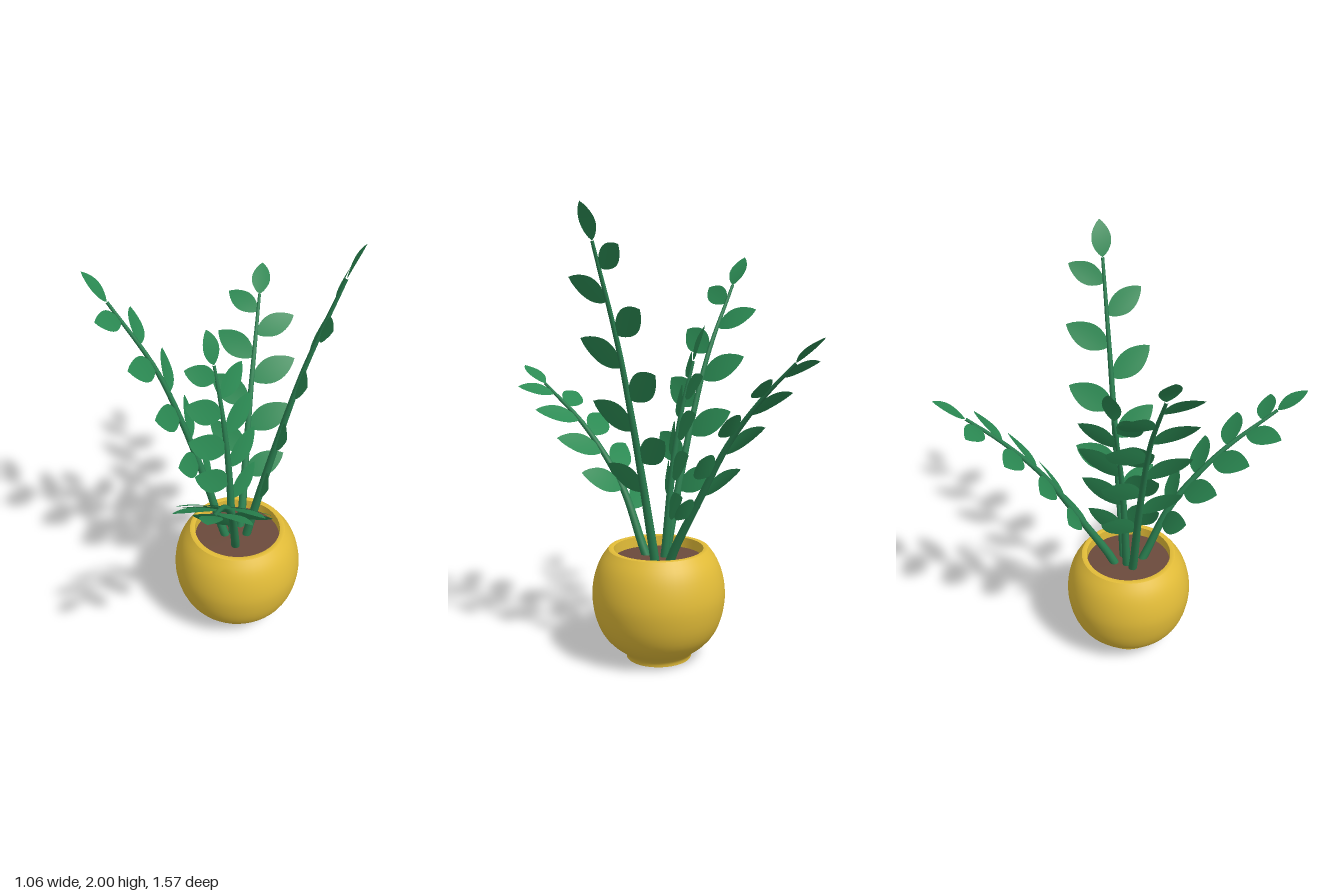
import * as THREE from 'three';

const material = (name, color, side = THREE.FrontSide) => {
  const m = new THREE.MeshStandardMaterial({ color, side });
  m.name = name;
  return m;
};

// Unit leaf: length along +y from 0 to 1, full width about 1, gently cupped and drooping
function leafGeometry() {
  const g = new THREE.PlaneGeometry(1, 1, 4, 12);
  const p = g.attributes.position;
  for (let i = 0; i < p.count; i++) {
    const u = p.getY(i) + 0.5;
    const x = p.getX(i) * Math.pow(Math.max(0, Math.sin(Math.PI * Math.pow(u, 0.95))), 0.8);
    p.setXYZ(i, x, u, 0.05 * x * x - 0.12 * u * u + 0.03 * u);
  }
  g.computeVertexNormals();
  return g;
}

// Tube along a curve, narrowing from r0 to r1
function taperedTube(curve, r0, r1) {
  const rings = 24, sides = 10;
  const g = new THREE.TubeGeometry(curve, rings, 1, sides);
  const p = g.attributes.position, v = new THREE.Vector3();
  for (let i = 0; i < p.count; i++) {
    const t = Math.floor(i / (sides + 1)) / rings;
    const c = curve.getPointAt(t);
    v.fromBufferAttribute(p, i).sub(c).multiplyScalar(r0 + (r1 - r0) * t).add(c);
    p.setXYZ(i, v.x, v.y, v.z);
  }
  return g;
}

export function createModel() {
  const root = new THREE.Group();
  root.name = 'pottedPlant';
  const potMat = material('yellowGlaze', 0xe2bc38);
  const soilMat = material('brownSoil', 0x6b4a3c);
  const stemMat = material('stemGreen', 0x2a7f50);
  const leafMat = material('leafGreen', 0x2b8a53, THREE.DoubleSide);

  // Pot: each lathe is one smooth band, so edges between bands stay sharp
  const pot = new THREE.Group();
  pot.name = 'pot';
  pot.position.set(0.08, 0, -0.01);
  root.add(pot);
  const lathe = (name, pts, mat) => {
    const m = new THREE.Mesh(new THREE.LatheGeometry(pts.map(([x, y]) => new THREE.Vector2(x, y)), 48), mat);
    m.name = name;
    pot.add(m);
  };
  const belly = new THREE.SplineCurve([
    [0.147, 0], [0.151, 0.018], [0.172, 0.04], [0.215, 0.074], [0.257, 0.125], [0.286, 0.195], [0.3, 0.28],
    [0.296, 0.35], [0.28, 0.415], [0.257, 0.465], [0.226, 0.508],
  ].map(([x, y]) => new THREE.Vector2(x, y)));
  lathe('potBase', [[0, 0], [0.147, 0]], potMat);
  lathe('potBody', belly.getPoints(30).map((p) => [p.x, p.y]), potMat);
  lathe('potRim', [[0.226, 0.508], [0.216, 0.511], [0.202, 0.508]], potMat);
  lathe('potInside', [[0.202, 0.508], [0.2, 0.43]], potMat);
  lathe('soil', [[0.201, 0.46], [0, 0.464]], soilMat);

  // Stems with alternating leaves and one leaf at the tip
  const stems = [
    ['backStem', [[0.062, 0.43, -0.065], [0.055, 0.51, -0.1], [0.007, 0.76, -0.23], [-0.045, 1.02, -0.37], [-0.1, 1.22, -0.52], [-0.157, 1.38, -0.67]]],
    ['rightStem', [[0.035, 0.43, 0.01], [0.012, 0.51, 0.02], [-0.07, 0.81, 0.045], [-0.16, 1.1, 0.075], [-0.265, 1.37, 0.11], [-0.44, 1.67, 0.175]]],
    ['frontStem', [[0.1, 0.43, 0.045], [0.115, 0.51, 0.08], [0.155, 0.76, 0.19], [0.23, 1.01, 0.4], [0.322, 1.2, 0.655]]],
    ['leftStem', [[0.11, 0.43, -0.035], [0.125, 0.51, -0.04], [0.2, 0.87, -0.068], [0.27, 1.18, -0.093], [0.335, 1.44, -0.115], [0.465, 1.85, -0.155]]],
    ['middleStem', [[0.055, 0.43, -0.015], [0.047, 0.51, -0.018], [0.02, 0.85, -0.028], [-0.02, 1.12, -0.042], [-0.07, 1.345, -0.06]]],
  ];
  const leafGeo = leafGeometry();
  const up = new THREE.Vector3(0, 1, 0);
  const leafCount = 8, spread = THREE.MathUtils.degToRad(57);

  for (const [name, pts] of stems) {
    const plant = new THREE.Group();
    plant.name = name;
    root.add(plant);
    const points = pts.map((p) => new THREE.Vector3(...p));
    const curve = new THREE.CatmullRomCurve3(points);
    const stem = new THREE.Mesh(taperedTube(curve, 0.021, 0.007), stemMat);
    stem.name = 'stem';
    plant.add(stem);

    const out = points[points.length - 1].clone().sub(points[0]).setY(0).normalize();
    const side = up.clone().cross(out);
    const addLeaf = (leafName, t, angle, length, width) => {
      const tangent = curve.getTangentAt(t);
      const normal = tangent.clone().cross(side).normalize();
      const dir = tangent.clone().multiplyScalar(Math.cos(angle)).addScaledVector(side, Math.sin(angle)).normalize();
      const across = dir.clone().cross(normal);
      const leaf = new THREE.Mesh(leafGeo, leafMat);
      leaf.name = leafName;
      leaf.quaternion.setFromRotationMatrix(new THREE.Matrix4().makeBasis(across, dir, normal));
      leaf.position.copy(curve.getPointAt(t));
      leaf.scale.set(width, length, length);
      plant.add(leaf);
    };
    for (let i = 0; i < leafCount; i++) {
      const f = i / (leafCount - 1);
      const size = 0.21 + 0.025 * Math.sin(Math.PI * f) - 0.03 * f * f * f;
      addLeaf('leaf', 0.25 + 0.675 * f, i % 2 ? spread : -spread, size, size * 0.53);
    }
    addLeaf('tipLeaf', 1, 0, 0.162, 0.088);
  }
  return root;
}
